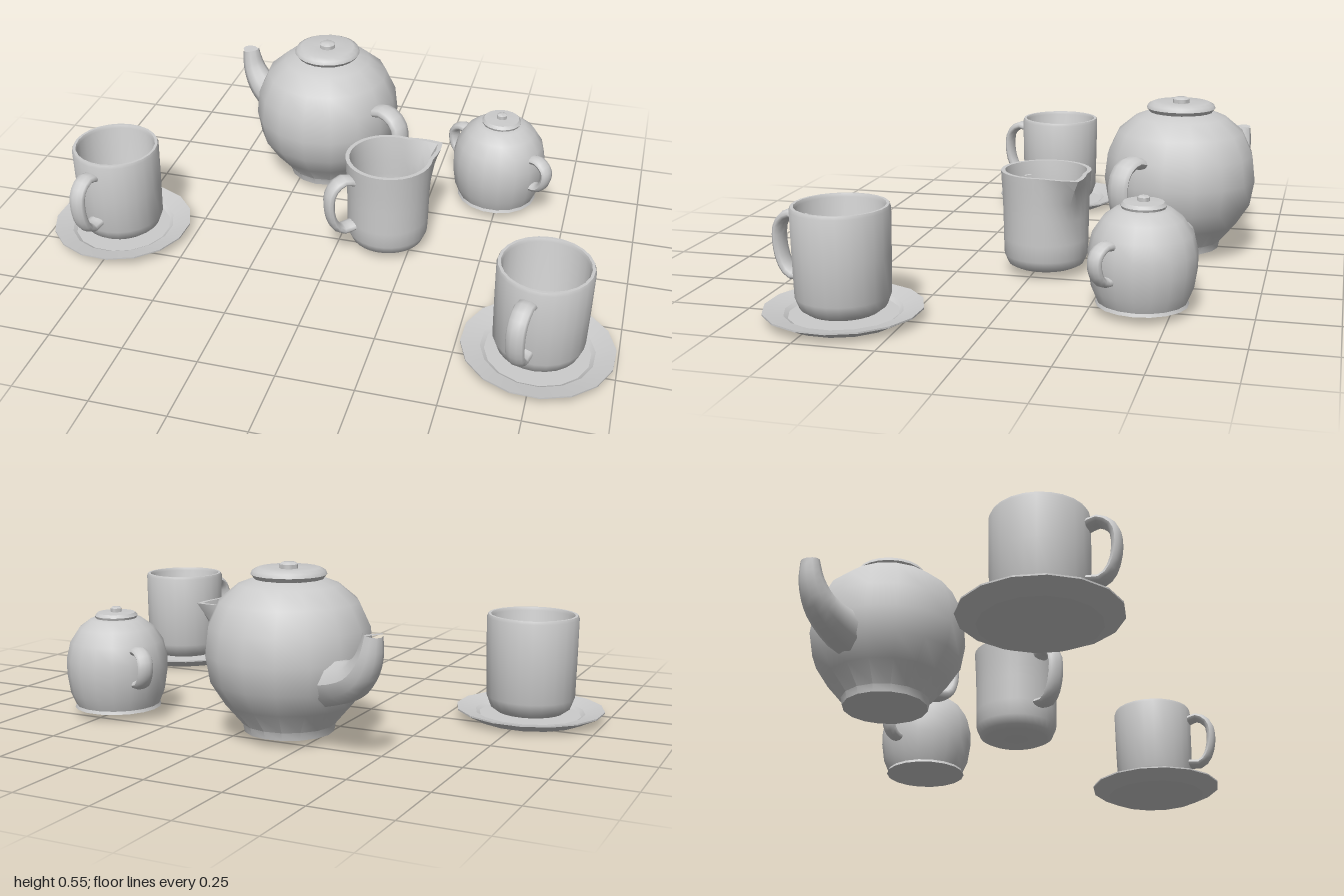
import * as THREE from 'three';
import { toCreasedNormals } from 'three/addons/utils/BufferGeometryUtils.js';

const material = new THREE.MeshStandardMaterial({ color: 0xcccccc });
const CREASE = 0.8;

function addMesh(parent, name, geometry) {
  const mesh = new THREE.Mesh(geometry, material);
  mesh.name = name;
  parent.add(mesh);
  return mesh;
}

// Turned body: profile of [radius, height] pairs, from the bottom centre outwards and up
function turned(profile, sides) {
  return new THREE.LatheGeometry(profile.map(([r, y]) => new THREE.Vector2(r, y)), sides);
}

// Tube in the xy plane with a radius that runs from r0 to r1; flat stretches it sideways
function sweep(points, r0, r1, flat = 1, steps = 14, sides = 10) {
  const curve = new THREE.CatmullRomCurve3(points.map(([x, y]) => new THREE.Vector3(x, y, 0)));
  const geometry = new THREE.TubeGeometry(curve, steps, 1, sides);
  const pos = geometry.attributes.position;
  const v = new THREE.Vector3();
  for (let i = 0; i < pos.count; i++) {
    const t = Math.floor(i / (sides + 1)) / steps;
    const centre = curve.getPointAt(t);
    v.fromBufferAttribute(pos, i).sub(centre).multiplyScalar(THREE.MathUtils.lerp(r0, r1, t));
    v.z *= flat;
    v.add(centre);
    pos.setXYZ(i, v.x, v.y, v.z);
  }
  geometry.computeVertexNormals();
  return geometry;
}

// A piece of the set; its +x side points along (dx, dz)
function piece(parent, name, x, z, dx, dz) {
  const group = new THREE.Group();
  group.name = name;
  group.position.set(x, 0, z);
  group.rotation.y = Math.atan2(-dz, dx);
  parent.add(group);
  return group;
}

const MUG_HANDLE = [[0.13, 0.285], [0.175, 0.3], [0.217, 0.27], [0.227, 0.21], [0.21, 0.14], [0.18, 0.11], [0.13, 0.115]];

function addCup(parent, x, z) {
  const cup = piece(parent, 'cupAndSaucer', x, z, -0.055, 0.235);
  addMesh(cup, 'saucer', toCreasedNormals(turned([
    [0, 0], [0.18, 0], [0.24, 0.03], [0.24, 0.035], [0.178, 0.022], [0.165, 0.014], [0, 0.014],
  ], 16), 0.3));
  addMesh(cup, 'cup', toCreasedNormals(turned([
    [0, 0.014], [0.11, 0.025], [0.13, 0.04], [0.143, 0.075], [0.146, 0.2], [0.148, 0.335], [0.144, 0.345],
    [0.135, 0.345], [0.131, 0.335], [0.129, 0.09], [0.115, 0.06], [0.09, 0.05], [0, 0.05],
  ], 24), CREASE));
  addMesh(cup, 'cupHandle', sweep(MUG_HANDLE, 0.016, 0.016, 1.9));
}

function addTeapot(parent) {
  const teapot = piece(parent, 'teapot', -0.16, -0.43, -0.361, -0.184);
  addMesh(teapot, 'teapotBody', toCreasedNormals(turned([
    [0, 0.025], [0.14, 0.025], [0.145, 0.05], [0.2, 0.115], [0.245, 0.185], [0.26, 0.27],
    [0.25, 0.355], [0.215, 0.43], [0.155, 0.48], [0.1, 0.5], [0, 0.5],
  ], 16), 0.6));
  addMesh(teapot, 'teapotLid', toCreasedNormals(turned([
    [0, 0.495], [0.105, 0.495], [0.117, 0.51], [0.112, 0.522], [0.095, 0.53], [0.028, 0.527],
    [0.028, 0.54], [0.02, 0.546], [0, 0.546],
  ], 20), CREASE));
  // Tapered spout closed by a small disc
  addMesh(teapot, 'spout', sweep([[0.18, 0.21], [0.27, 0.225], [0.34, 0.255], [0.385, 0.315], [0.4, 0.385]],
    0.08, 0.03));
  const tip = addMesh(teapot, 'spoutTip', new THREE.CircleGeometry(0.03, 10));
  tip.position.set(0.4, 0.384, 0);
  tip.rotation.set(-Math.PI / 2, -0.15, 0);
  addMesh(teapot, 'teapotHandle', sweep(
    [[-0.22, 0.345], [-0.28, 0.363], [-0.335, 0.335], [-0.35, 0.27], [-0.32, 0.19], [-0.22, 0.15]],
    0.021, 0.021, 1.85));
}

function addSugarBowl(parent) {
  const bowl = piece(parent, 'sugarBowl', 0.49, -0.41, 0.2, 0.12);
  addMesh(bowl, 'sugarBowlBody', toCreasedNormals(turned([
    [0, 0.025], [0.142, 0.025], [0.138, 0.035], [0.155, 0.075], [0.165, 0.14], [0.165, 0.19], [0.152, 0.245],
    [0.122, 0.29], [0.085, 0.317], [0.06, 0.322], [0, 0.322],
  ], 18), 0.6));
  addMesh(bowl, 'sugarBowlLid', toCreasedNormals(turned([
    [0, 0.318], [0.066, 0.318], [0.07, 0.328], [0.062, 0.338], [0.018, 0.34], [0.018, 0.352], [0.012, 0.357], [0, 0.357],
  ], 18), CREASE));
  for (const side of [1, -1]) {
    const handle = addMesh(bowl, 'sugarBowlHandle', sweep(
      [[0.13, 0.225], [0.175, 0.235], [0.211, 0.21], [0.211, 0.165], [0.185, 0.13], [0.14, 0.125]],
      0.015, 0.015, 1.75));
    if (side < 0) handle.rotation.y = Math.PI;
  }
}

function addCreamer(parent) {
  const creamer = piece(parent, 'creamer', 0.165, -0.035, 0.155, -0.139);
  const jug = turned([
    [0, 0.025], [0.105, 0.025], [0.125, 0.035], [0.138, 0.065], [0.14, 0.12], [0.141, 0.2], [0.143, 0.26], [0.146, 0.31],
    [0.148, 0.345], [0.134, 0.345], [0.13, 0.31], [0.127, 0.26], [0.126, 0.2], [0.124, 0.08], [0.1, 0.055], [0, 0.05],
  ], 32);
  // Pull the rim out into a pouring lip on the +x side
  const pos = jug.attributes.position;
  for (let i = 0; i < pos.count; i++) {
    const x = pos.getX(i), y = pos.getY(i), z = pos.getZ(i);
    const near = Math.max(0, 1 - Math.abs(Math.atan2(z, x)) / 0.6);
    const high = THREE.MathUtils.clamp((y - 0.2) / 0.145, 0, 1);
    const pull = 1 + 0.42 * near ** 1.3 * high ** 1.4;
    pos.setXYZ(i, x * pull, y, z * pull);
  }
  addMesh(creamer, 'creamerJug', toCreasedNormals(jug, CREASE));
  const handle = addMesh(creamer, 'creamerHandle', sweep(MUG_HANDLE, 0.016, 0.016, 1.9));
  handle.rotation.y = Math.PI;
}

export function createModel() {
  const model = new THREE.Group();
  model.name = 'teaSet';
  addTeapot(model);
  addSugarBowl(model);
  addCreamer(model);
  addCup(model, -0.76, 0.13);
  addCup(model, 0.755, 0.44);
  return model;
}
